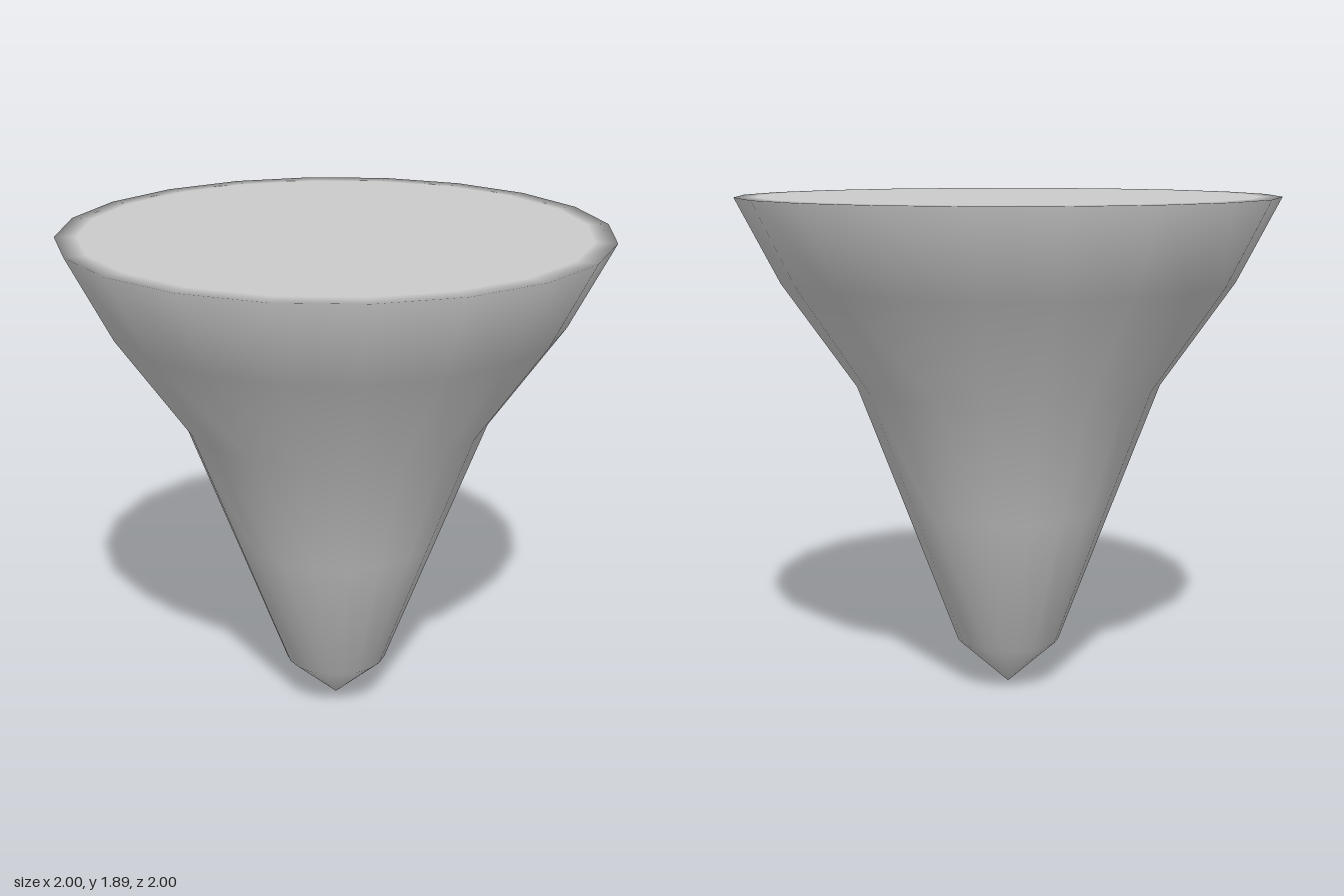
import * as THREE from 'three';

export function createModel() {
  const model = new THREE.Group();
  const sides = 20;
  const step = (Math.PI * 2) / sides;

  // Profile from the pointed tip up to the rim and across the flat top:
  // [half width across the flats, height]
  const profile = [
    [0, 0], [0.195, 0.18], [0.395, 0.72], [0.57, 1.19],
    [0.84, 1.58], [1, 1.895], [0.92, 1.895], [0, 1.895],
  ].map(([w, y]) => new THREE.Vector2(w / Math.cos(step / 2), y));

  // Turned half a step so that flat sides face front, back, left and right
  const spike = new THREE.Mesh(
    new THREE.LatheGeometry(profile, sides, step / 2),
    new THREE.MeshStandardMaterial({ color: 0xcccccc }),
  );
  spike.name = 'spike';
  model.add(spike);
  return model;
}
